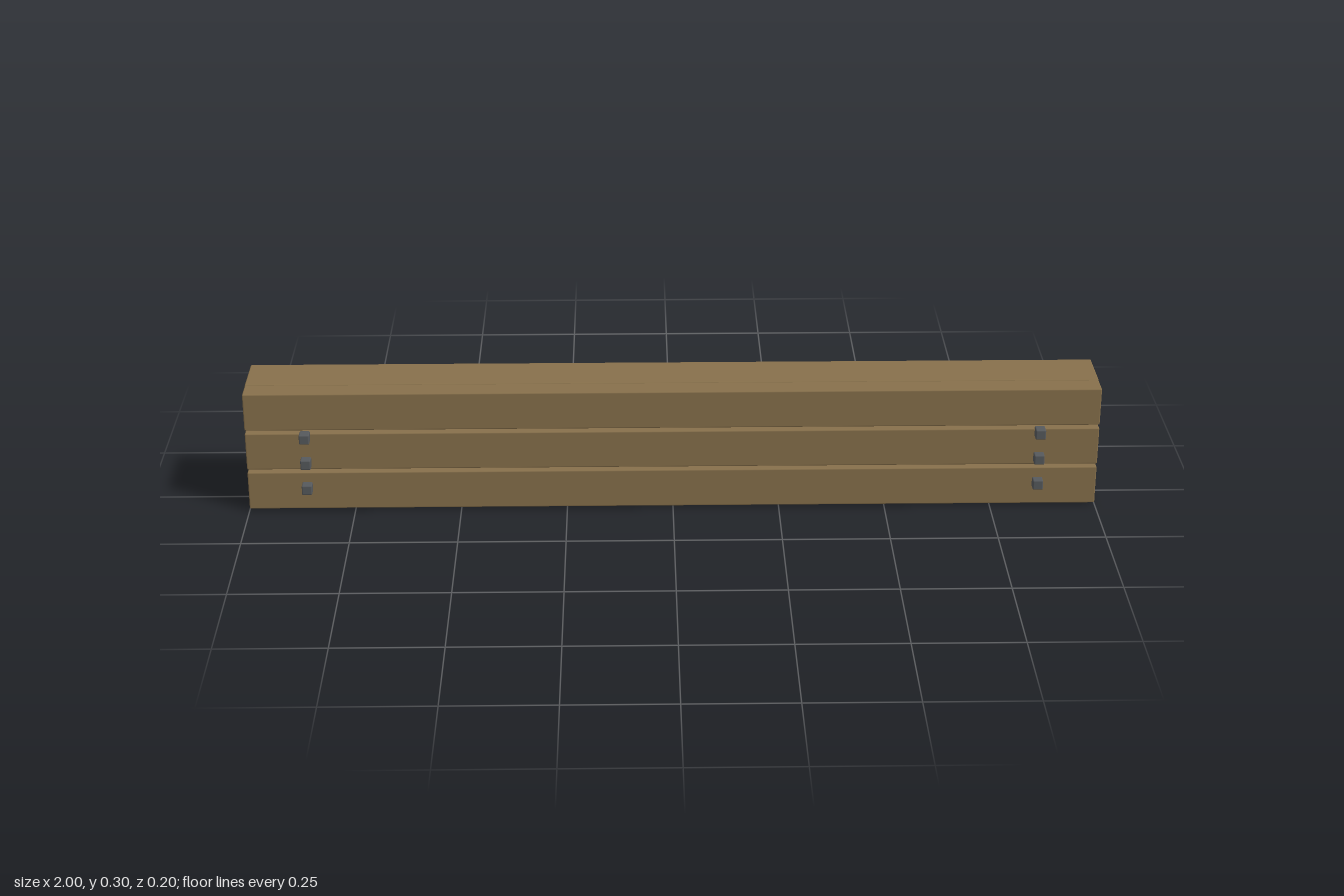
import * as THREE from 'three';
import { RoundedBoxGeometry } from 'three/addons/geometries/RoundedBoxGeometry.js';

export function createModel() {
  const group = new THREE.Group();
  const wood = new THREE.MeshStandardMaterial({ name: 'brown wood', color: 0x87704b });
  const iron = new THREE.MeshStandardMaterial({ name: 'dark iron', color: 0x56595c });

  // Box with softened edges, given by its ranges on each axis
  function block(name, material, [x0, x1], [y0, y1], [z0, z1], radius) {
    const geometry = new RoundedBoxGeometry(x1 - x0, y1 - y0, z1 - z0, 2, radius);
    const mesh = new THREE.Mesh(geometry, material);
    mesh.name = name;
    mesh.position.set((x0 + x1) / 2, (y0 + y1) / 2, (z0 + z1) / 2);
    group.add(mesh);
  }

  // Solid beam behind the planks
  block('beamCore', wood, [-1, 1], [0, 0.3], [-0.098, 0.024], 0.003);

  // Three front planks with narrow grooves between them
  const planks = [[0.004, 0.098], [0.106, 0.198], [0.206, 0.298]];
  for (const range of planks) block('frontPlank', wood, [-1, 1], range, [0.015, 0.076], 0.003);

  // Small spacers inside the grooves
  for (const [x, y] of [[0.34, 0.102], [0.75, 0.202]]) {
    block('grooveSpacer', wood, [x - 0.008, x + 0.008], [y - 0.005, y + 0.005], [0.032, 0.047], 0.001);
  }

  // Square bolt heads in a column near each end
  for (const x of [-0.86, 0.86]) {
    for (const y of [0.061, 0.126, 0.191]) {
      block('boltHead', iron, [x - 0.012, x + 0.012], [y - 0.012, y + 0.012], [0.07, 0.098], 0.003);
    }
  }
  return group;
}
